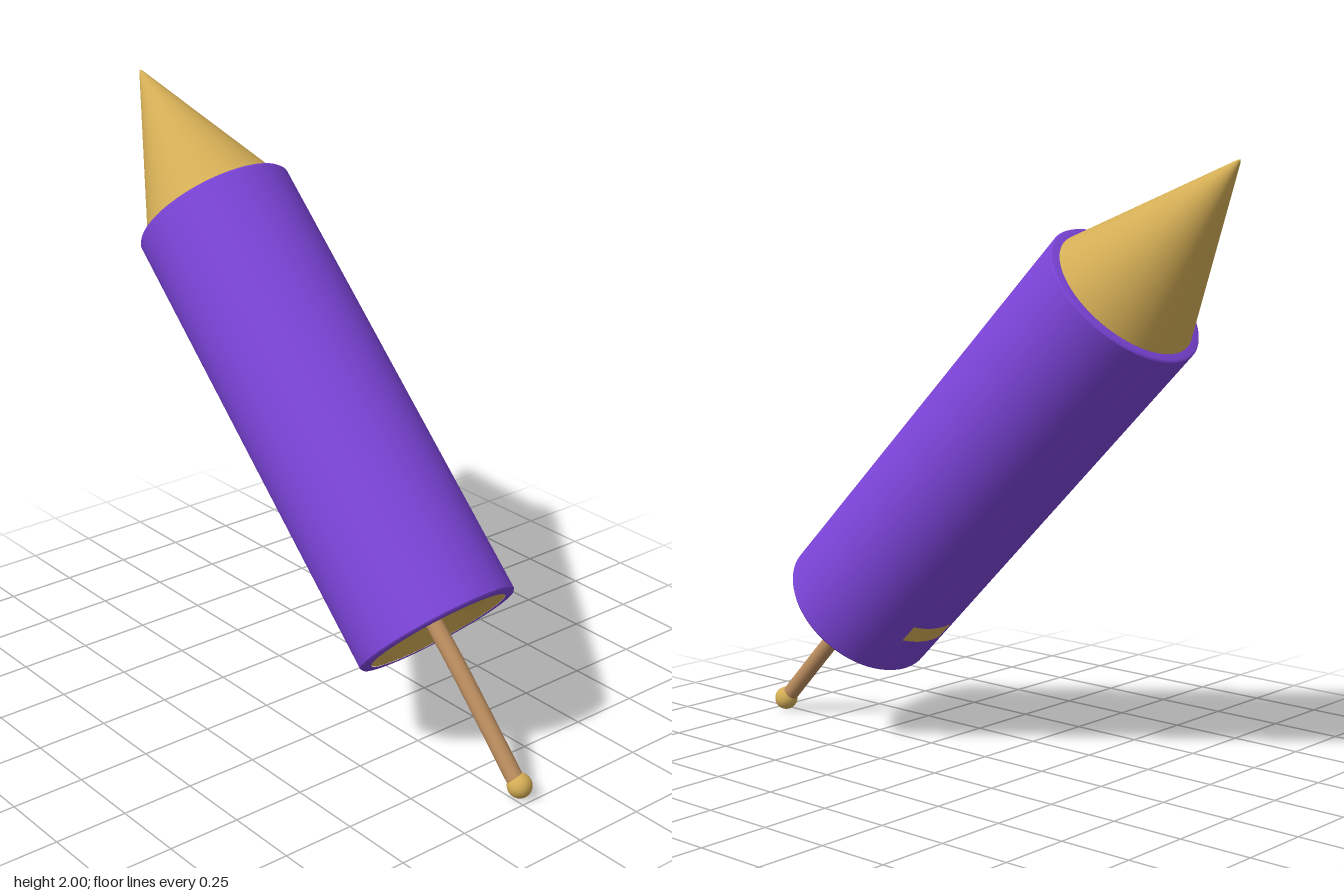
import * as THREE from 'three';

const material = (name, color, side = THREE.FrontSide) => {
  const m = new THREE.MeshStandardMaterial({ color, side });
  m.name = name;
  return m;
};

// Lathe from [radius, height] pairs, listed from bottom to top along the outside
const lathe = (points) =>
  new THREE.LatheGeometry(points.map(([r, y]) => new THREE.Vector2(r, y)), 72);

export function createModel() {
  const purple = material('purple', 0x7b44d8);
  const gold = material('gold', 0xd3ad55);
  const wood = material('wood', 0xba8c5e);

  const rocket = new THREE.Group();
  rocket.name = 'rocket';
  const add = (name, geometry, mat) => {
    const mesh = new THREE.Mesh(geometry, mat);
    mesh.name = name;
    rocket.add(mesh);
    return mesh;
  };

  const R = 0.28, inner = 0.25, half = 0.813;

  // Tube wall, its softened rims kept crisp by separate strips
  add('bodyWall', lathe([[R, -half + 0.008], [R, half - 0.008]]), purple);
  add('topRim', lathe([[R, half - 0.008], [R - 0.006, half], [inner - 0.02, half]]), purple);
  add('bottomRim', lathe([[inner - 0.006, -half], [R - 0.006, -half], [R, -half + 0.008]]), purple);

  // Nose with a slightly blunted tip
  add('noseCone', lathe([[inner, half], [0.006, half + 0.572], [0, half + 0.58]]), gold);

  // Shallow funnel closing the lower end
  add('bottomCap', lathe([[0, -half + 0.045], [inner - 0.006, -half + 0.001]]), gold);

  // Guide stick and end ball
  const path = new THREE.CatmullRomCurve3([
    new THREE.Vector3(0, -half + 0.06, 0),
    new THREE.Vector3(0, -0.95, 0.002),
    new THREE.Vector3(0, -1.36, -0.01),
  ]);
  add('stick', new THREE.TubeGeometry(path, 16, 0.029, 20), wood);
  add('endBall', new THREE.SphereGeometry(0.041, 28, 20), gold)
    .position.set(0.005, -1.364, -0.011);

  // Small patch on the underside of the tube
  const arc = 0.62;
  const patch = new THREE.CylinderGeometry(
    R + 0.0015, R + 0.0015, 0.075, 16, 1, true, Math.PI - 0.1 - arc / 2, arc);
  add('undersidePatch', patch, gold).position.y = -half + 0.215;

  // Lean the whole rocket back
  const axis = new THREE.Vector3(-0.024, 1.15, -1.15).normalize();
  rocket.quaternion.setFromUnitVectors(new THREE.Vector3(0, 1, 0), axis);
  rocket.position.set(0, 1.015, 0);

  const model = new THREE.Group();
  model.name = 'leaningRocket';
  model.add(rocket);
  return model;
}
